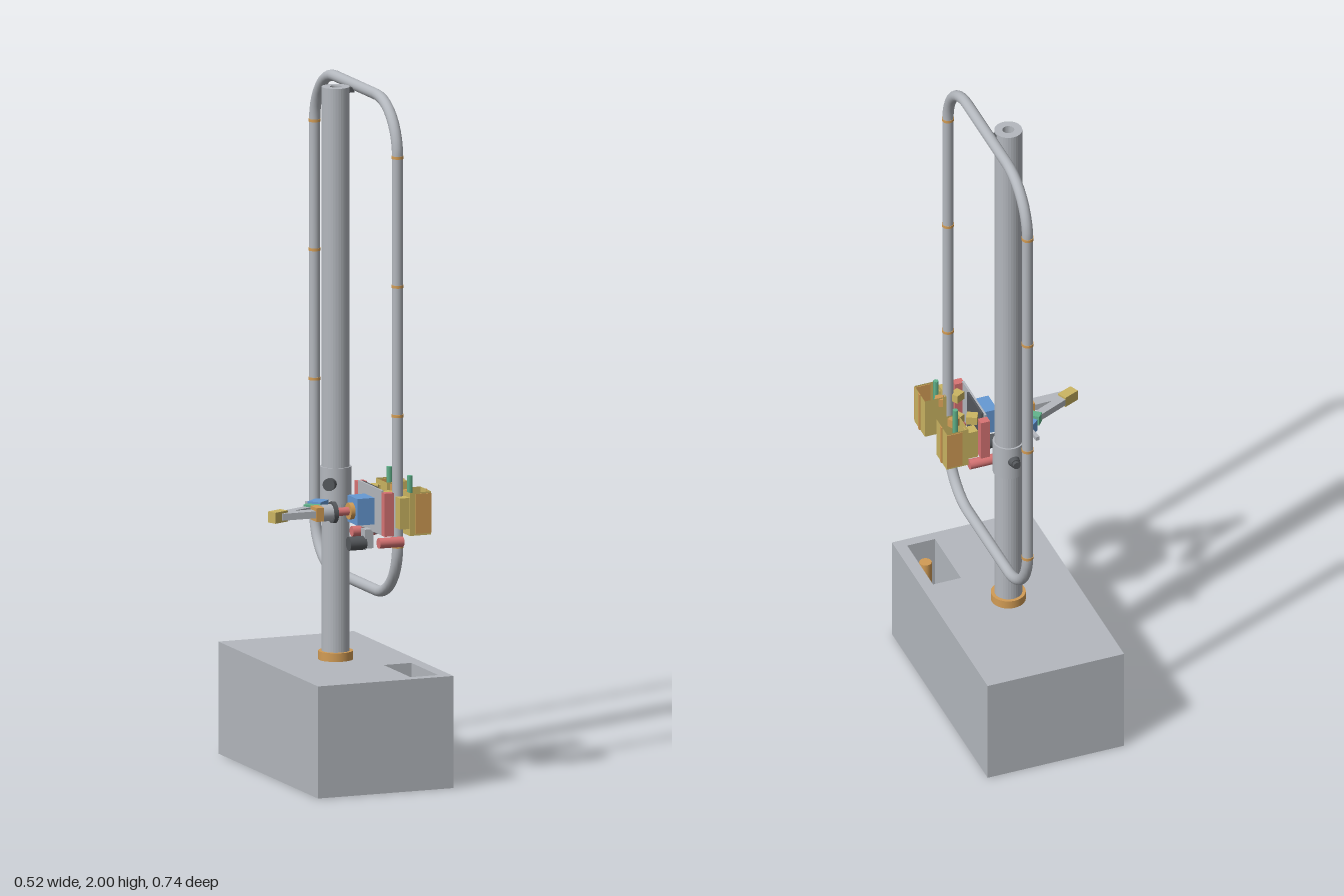
import * as THREE from 'three';

const mat = (name, color, side = THREE.FrontSide) => {
  const m = new THREE.MeshStandardMaterial({ color, side });
  m.name = name;
  return m;
};

export function createModel() {
  const root = new THREE.Group();
  root.name = 'railRobot';
  const grey = mat('grey', 0xb4b8be), dark = mat('dark grey', 0x55585c);
  const yellow = mat('yellow', 0xcbb562, THREE.DoubleSide), orange = mat('orange', 0xd29c55);
  const blue = mat('blue', 0x6699d4), green = mat('green', 0x62b48c), red = mat('red', 0xd87474);

  const add = (name, geo, m, x = 0, y = 0, z = 0) => {
    const mesh = new THREE.Mesh(geo, m);
    mesh.name = name;
    mesh.position.set(x, y, z);
    root.add(mesh);
    return mesh;
  };
  // box given by its extents, turned about its own vertical axis
  const box = (name, m, x0, x1, y0, y1, z0, z1, turn = 0) => {
    const b = add(name, new THREE.BoxGeometry(x1 - x0, y1 - y0, z1 - z0), m,
      (x0 + x1) / 2, (y0 + y1) / 2, (z0 + z1) / 2);
    b.rotation.y = turn;
    return b;
  };
  // cylinder between two points
  const rod = (name, m, a, b, r, r2 = r, sides = 24) => {
    const p = new THREE.Vector3(...a), q = new THREE.Vector3(...b);
    const mid = p.clone().add(q).multiplyScalar(0.5), d = q.clone().sub(p);
    const c = add(name, new THREE.CylinderGeometry(r2, r, d.length(), sides), m, mid.x, mid.y, mid.z);
    c.quaternion.setFromUnitVectors(new THREE.Vector3(0, 1, 0), d.normalize());
    return c;
  };

  // base block with a deep pocket
  const rect = (T, x0, x1, z0, z1) => {
    const s = new T();
    s.moveTo(x0, -z1); s.lineTo(x1, -z1); s.lineTo(x1, -z0); s.lineTo(x0, -z0); s.closePath();
    return s;
  };
  const outline = rect(THREE.Shape, -0.163, 0.255, -0.37, 0.37);
  outline.holes.push(rect(THREE.Path, 0.135, 0.22, 0.14, 0.34));
  const baseGeo = new THREE.ExtrudeGeometry(outline, { depth: 0.325, bevelEnabled: false });
  baseGeo.rotateX(-Math.PI / 2);
  add('base', baseGeo, grey);
  box('pocketFloor', grey, 0.135, 0.22, 0, 0.14, 0.14, 0.34);
  box('pocketTray', green, 0.135, 0.22, 0.14, 0.15, 0.14, 0.34);
  rod('pocketPost', orange, [0.178, 0.15, 0.175], [0.178, 0.28, 0.175], 0.018);
  rod('pocketPost', orange, [0.178, 0.15, 0.305], [0.178, 0.28, 0.305], 0.018);
  const ring = add('pocketRing', new THREE.TorusGeometry(0.014, 0.002, 8, 24), orange, 0.178, 0.153, 0.24);
  ring.rotation.x = Math.PI / 2;

  // pole, foot collar and sleeve with two knobs
  const px = 0.045;
  rod('footCollar', orange, [px, 0.325, 0], [px, 0.35, 0], 0.05, 0.05, 32);
  const poleGeo = new THREE.LatheGeometry([[0.017, 1.9], [0.017, 1.985], [0.04, 1.985], [0.04, 0.325]]
    .reverse().map(([r, y]) => new THREE.Vector2(r, y)), 32);
  const pole = add('pole', poleGeo.toNonIndexed(), grey, px);
  pole.geometry.computeVertexNormals();
  rod('poleCore', grey, [px, 1.88, 0], [px, 1.93, 0], 0.018);
  rod('sleeve', grey, [px, 0.78, 0], [px, 0.885, 0], 0.045, 0.045, 32);
  rod('knob', dark, [px, 0.84, -0.03], [px, 0.84, -0.058], 0.02, 0.014);
  rod('knob', dark, [px, 0.84, -0.04], [px, 0.84, -0.068], 0.011);
  rod('knob', dark, [0.025, 0.84, 0.022], [0.004, 0.84, 0.046], 0.018);
  box('railBracket', dark, 0.078, 0.1, 1.965, 1.98, -0.008, 0.008);

  // closed rail loop
  const rx = 0.108, zr = 0.308, yLo = 0.546, yHi = 1.984, R = 0.155;
  const path = new THREE.CurvePath();
  const pts = [];
  [[zr - R, yHi - R, 0], [-zr + R, yHi - R, 1], [-zr + R, yLo + R, 2], [zr - R, yLo + R, 3]].forEach(([z, y, q]) => {
    for (let i = 0; i <= 10; i++) {
      const a = (q + i / 10) * Math.PI / 2;
      pts.push(new THREE.Vector3(rx, y + R * Math.sin(a), z + R * Math.cos(a)));
    }
  });
  pts.forEach((p, i) => path.add(new THREE.LineCurve3(p, pts[(i + 1) % pts.length])));
  // sections sit in the corner mitres, so the straights stay straight
  const n = pts.length, sides = 16, pos = [], idx = [];
  pts.forEach((p, i) => {
    const q = Math.floor(i / 11), a = (q + (i % 11) / 10) * Math.PI / 2;
    for (let j = 0; j < sides; j++) {
      const t = j / sides * Math.PI * 2, r = 0.016 * Math.cos(t);
      pos.push(p.x + 0.016 * Math.sin(t), p.y + r * Math.sin(a), p.z + r * Math.cos(a));
      const k = (j + 1) % sides, m = (i + 1) % n;
      idx.push(i * sides + j, i * sides + k, m * sides + j, i * sides + k, m * sides + k, m * sides + j);
    }
  });
  const railGeo = new THREE.BufferGeometry();
  railGeo.setAttribute('position', new THREE.Float32BufferAttribute(pos, 3));
  railGeo.setIndex(idx);
  railGeo.computeVertexNormals();
  // turn the faces outward if the sweep ran inside out
  const o = new THREE.Vector3().fromArray(railGeo.attributes.normal.array, 0);
  if (o.z < 0) {
    railGeo.setIndex(idx.map((v, i) => idx[i % 3 === 1 ? i + 1 : i % 3 === 2 ? i - 1 : i]));
    railGeo.computeVertexNormals();
  }
  add('rail', railGeo, grey);
  for (const s of [-1, 1]) for (const y of [0.701, 1.08, 1.455, 1.829])
    rod('railJoint', orange, [rx, y - 0.004, s * zr], [rx, y + 0.004, s * zr], 0.0175);

  // carriage: back plate and two mirrored roller housings
  const cz = 0.24;
  box('backPlate', grey, 0.05, 0.056, 0.74, 0.87, 0.155, 0.33);
  box('frontPlate', dark, 0.056, 0.062, 0.735, 0.87, 0.165, 0.275);
  for (const s of [-1, 1]) {
    const z = cz + s * 0.085;
    // open housing made of upright walls
    const wall = new THREE.CylinderGeometry(Math.SQRT1_2, Math.SQRT1_2, 1, 4, 1, true, Math.PI / 4).toNonIndexed();
    wall.computeVertexNormals();
    const housing = add('rollerHousing', wall, yellow, 0.155, 0.802, z);
    housing.scale.set(0.066, 0.125, 0.08);
    box('housingStripe', orange, 0.188, 0.191, 0.74, 0.865, z - 0.006, z + 0.006);
    box('housingEdge', orange, 0.14, 0.188, 0.745, 0.86, z + s * 0.04 - 0.002, z + s * 0.04 + 0.002);
    for (const y of [0.755, 0.835]) {
      box('rollerArm', yellow, 0.068, 0.1, y, y + 0.025, cz + s * 0.058 - 0.014, cz + s * 0.058 + 0.014, s * 0.5);
      box('rollerArm', orange, 0.128, 0.152, y, y + 0.025, cz + s * 0.055 - 0.012, cz + s * 0.055 + 0.012, -s * 0.5);
    }
    box('endTab', yellow, 0.092, 0.124, 0.76, 0.85, cz + s * 0.108 - 0.016, cz + s * 0.108 + 0.016);
    rod('pin', green, [0.142, 0.8, cz + s * 0.075], [0.142, 0.905, cz + s * 0.075], 0.008, 0.008, 6);
    rod('lowerMotor', red, [0.036, 0.72, cz + s * 0.1], [0.11, 0.72, cz + s * 0.1], 0.015);
    box('sideBlock', red, 0.05, 0.078, 0.74, 0.865, cz + s * 0.1 - 0.012, cz + s * 0.1 + 0.012);
  }
  rod('driveMotor', dark, [-0.015, 0.705, cz], [0.035, 0.705, cz], 0.02);
  box('driveMount', grey, 0.03, 0.056, 0.69, 0.745, 0.225, 0.255);

  // arm: shoulder, wrist stack and two links
  const ay = 0.8;
  box('shoulderMotor', blue, -0.003, 0.05, 0.763, 0.84, 0.205, 0.276);
  const stack = [['coupling', orange, -0.003, -0.016, 0.024], ['shaft', red, -0.016, -0.057, 0.012],
    ['flange', dark, -0.057, -0.069, 0.031], ['sleeveJoint', grey, -0.069, -0.1, 0.024]];
  for (const [name, m, a, b, r] of stack) rod(name, m, [a, ay, cz], [b, ay, cz], r);
  box('elbowBlock', orange, -0.123, -0.1, 0.78, 0.82, 0.217, 0.263);
  const link = (name, m, a, b, w, h) => {
    const dx = b[0] - a[0], dz = b[1] - a[1];
    const l = add(name, new THREE.BoxGeometry(Math.hypot(dx, dz), h, w), m, (a[0] + b[0]) / 2, ay, (a[1] + b[1]) / 2);
    l.rotation.y = Math.atan2(-dz, dx);
  };
  link('upperLink', grey, [-0.123, 0.24], [-0.225, 0.24], 0.033, 0.02);
  link('elbow', yellow, [-0.255, 0.248], [-0.209, 0.228], 0.03, 0.032);
  link('foreLink', grey, [-0.225, 0.232], [-0.115, 0.182], 0.024, 0.02);
  link('wrist', green, [-0.12, 0.167], [-0.085, 0.197], 0.024, 0.03);
  link('hand', blue, [-0.088, 0.16], [-0.05, 0.128], 0.042, 0.036);
  link('finger', grey, [-0.073, 0.13], [-0.078, 0.082], 0.011, 0.012);
  link('finger', grey, [-0.045, 0.135], [-0.014, 0.102], 0.011, 0.012);
  return root;
}
